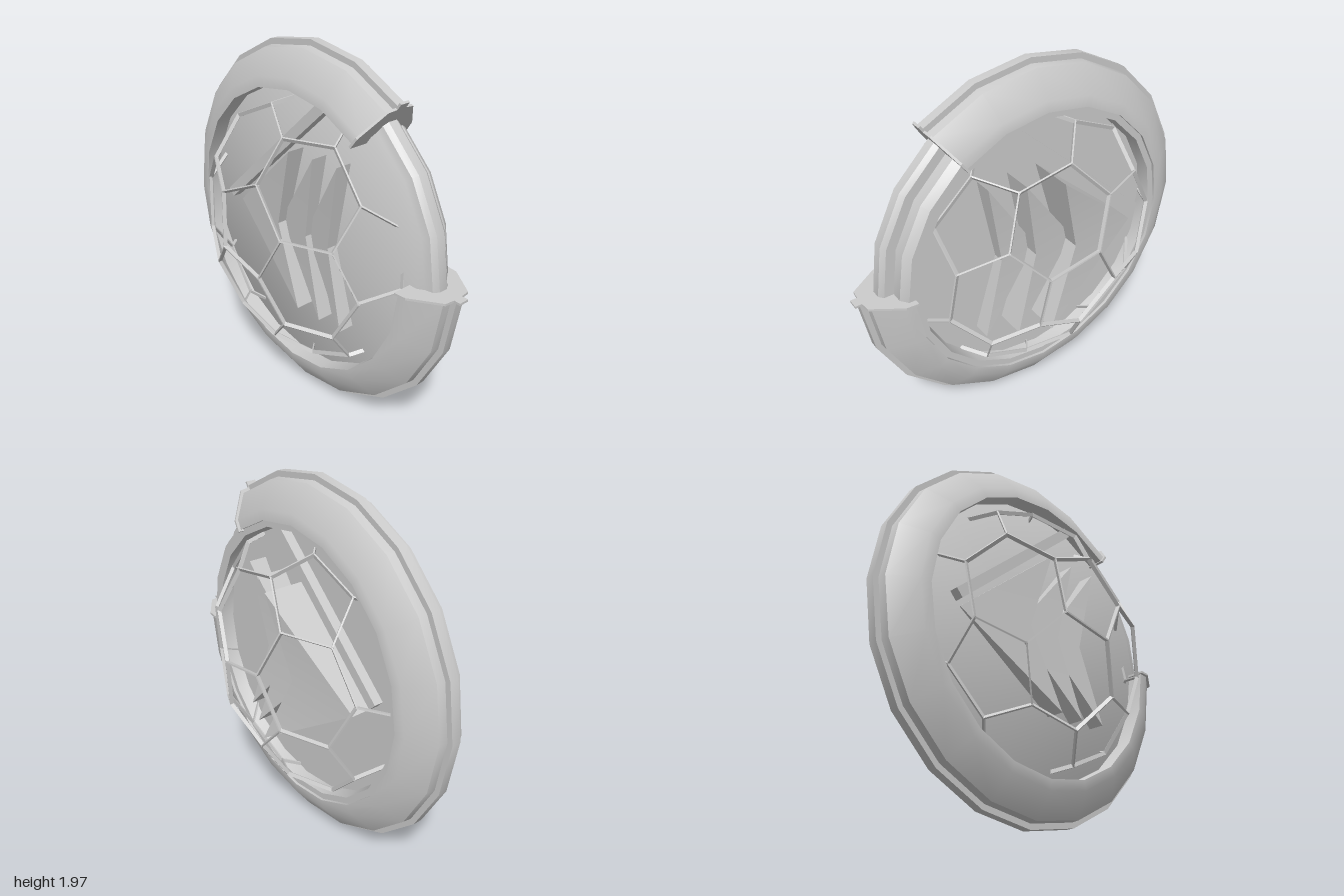
import * as THREE from 'three';
import { toCreasedNormals } from 'three/addons/utils/BufferGeometryUtils.js';

const CX = -0.01, CY = 0.99, CZ = 0.02, DEG = Math.PI / 180;
const grey = new THREE.MeshStandardMaterial({ color: 0xcccccc, side: THREE.DoubleSide });

function add(parent, geometry, name) {
  const mesh = new THREE.Mesh(geometry, grey);
  mesh.name = name;
  parent.add(mesh);
  return mesh;
}

// Profile (radius, z) swept around the z axis; angles run from +x in degrees
function sweep(profile, from, to, segments, crease = 35) {
  const g = new THREE.LatheGeometry(profile.map(p => new THREE.Vector2(...p)), segments,
    (from + 90) * DEG, (to - from) * DEG);
  g.rotateX(Math.PI / 2);
  return toCreasedNormals(g, crease * DEG);
}

// Four-cornered arrow blade; each corner is [x, y, frontZ, backZ], anticlockwise from the front
function bladeGeometry(c) {
  const f = c.map(p => [p[0], p[1], p[2]]), b = c.map(p => [p[0], p[1], p[3]]);
  const tris = [f[0], f[1], f[2], f[0], f[2], f[3], b[0], b[2], b[1], b[0], b[3], b[2]];
  for (let i = 0; i < 4; i++) {
    const j = (i + 1) % 4;
    tris.push(f[i], b[i], b[j], f[i], b[j], f[j]);
  }
  const g = new THREE.BufferGeometry();
  g.setAttribute('position', new THREE.Float32BufferAttribute(tris.flat(), 3));
  g.computeVertexNormals();
  return toCreasedNormals(g, 25 * DEG);
}

// Corners of a truncated icosahedron with one pentagon facing +z
function ballCorners(turn) {
  const ico = [new THREE.Vector3(0, 0, 1), new THREE.Vector3(0, 0, -1)];
  const h = 1 / Math.sqrt(5), r = 2 * h;
  for (let k = 0; k < 5; k++) {
    const a = (turn + 72 * k) * DEG, b = a + 36 * DEG;
    ico.push(new THREE.Vector3(r * Math.cos(a), r * Math.sin(a), h));
    ico.push(new THREE.Vector3(r * Math.cos(b), r * Math.sin(b), -h));
  }
  const corners = [];
  for (const v of ico) for (const n of ico) {
    const d = v.distanceTo(n);
    if (d > 0.1 && d < 1.2) corners.push(v.clone().lerp(n, 1 / 3));
  }
  return corners;
}

function buildCage() {
  const cage = new THREE.Group();
  cage.name = 'wireCage';
  const raw = ballCorners(7);
  const points = raw.map(p => p.clone().normalize()
    .applyAxisAngle(new THREE.Vector3(1, 0, 0), -10 * DEG)
    .multiply(new THREE.Vector3(0.73, 0.73, 0.465)));
  for (let i = 0; i < raw.length; i++) for (let j = i + 1; j < raw.length; j++) {
    if (raw[i].distanceTo(raw[j]) > 0.4) continue;
    // Thin strut, deeper along the outward direction
    const along = points[j].clone().sub(points[i]), length = along.length();
    along.normalize();
    const mid = points[i].clone().add(points[j]).multiplyScalar(0.5);
    const side = new THREE.Vector3().crossVectors(along, mid).normalize();
    const out = new THREE.Vector3().crossVectors(side, along);
    const strut = add(cage, new THREE.BoxGeometry(0.008, length + 0.01, 0.02), 'cageStrut');
    strut.quaternion.setFromRotationMatrix(new THREE.Matrix4().makeBasis(side, along, out));
    strut.position.copy(mid);
  }
  return cage;
}

export function createModel() {
  const model = new THREE.Group();
  const wheel = new THREE.Group();
  wheel.name = 'wheel';
  wheel.position.set(CX, CY, CZ);
  model.add(wheel);

  // Outer casing with a raised flange, open between 0 and 54 degrees
  const half = [[0.985, 0.025], [0.955, 0.025], [0.95, 0.07], [0.82, 0.16], [0.765, 0.165]];
  const section = [...half.slice().reverse().map(([r, z]) => [r, -z]), ...half];
  section.push(section[0]);
  add(wheel, sweep(section, 54, 360, 17), 'outerCasing');

  // Slightly flared collar closing each end of the casing
  const collarShape = new THREE.Shape(section.map(([r, z]) =>
    new THREE.Vector2(0.87 + (r - 0.87) * 1.15 + 0.005, z * 1.1)));
  for (const angle of [54, 0]) {
    const g = new THREE.ExtrudeGeometry(collarShape, { depth: 0.012, bevelEnabled: false });
    g.translate(0, 0, -0.006);
    g.rotateX(Math.PI / 2);
    g.rotateZ(angle * DEG);
    add(wheel, g, 'casingEnd');
  }

  // Inner drum: closed faces, a rear rim and a rounded rib on the edge
  const drum = [[0, -0.08], [0.72, -0.08], [0.73, -0.15], [0.79, -0.15], [0.82, -0.11],
    [0.82, -0.05], [0.87, -0.05], [0.89, -0.025], [0.89, 0.025], [0.87, 0.05],
    [0.83, 0.06], [0.80, 0.08], [0, 0.08]];
  add(wheel, sweep(drum, 0, 360, 20), 'innerDrum');

  wheel.add(buildCage());

  // Three nested arrow blades passing through the drum
  const blades = [
    [[-0.54, 0.98, 0.105, -0.19], [0.06, 0.57, 0.2, -0.3], [-0.13, 1.0, 0.17, -0.24], [0, 1.45, 0.2, -0.3]],
    [[-0.17, 1.0, 0.11, -0.15], [0.22, 0.57, 0.19, -0.225], [0.08, 1.0, 0.16, -0.18], [0.17, 1.46, 0.19, -0.225]],
    [[0.03, 1.0, 0.11, -0.1], [0.38, 0.58, 0.19, -0.16], [0.25, 1.0, 0.16, -0.12], [0.34, 1.47, 0.19, -0.16]],
  ];
  for (const corners of blades) add(model, bladeGeometry(corners), 'arrowBlade');

  // Slanted bar beside the first blade
  const bar = add(model, new THREE.BoxGeometry(1.03, 0.055, 0.26), 'slantedBar');
  bar.position.set(-0.2, 1.365, 0.02);
  bar.rotation.z = 42 * DEG;

  return model;
}
